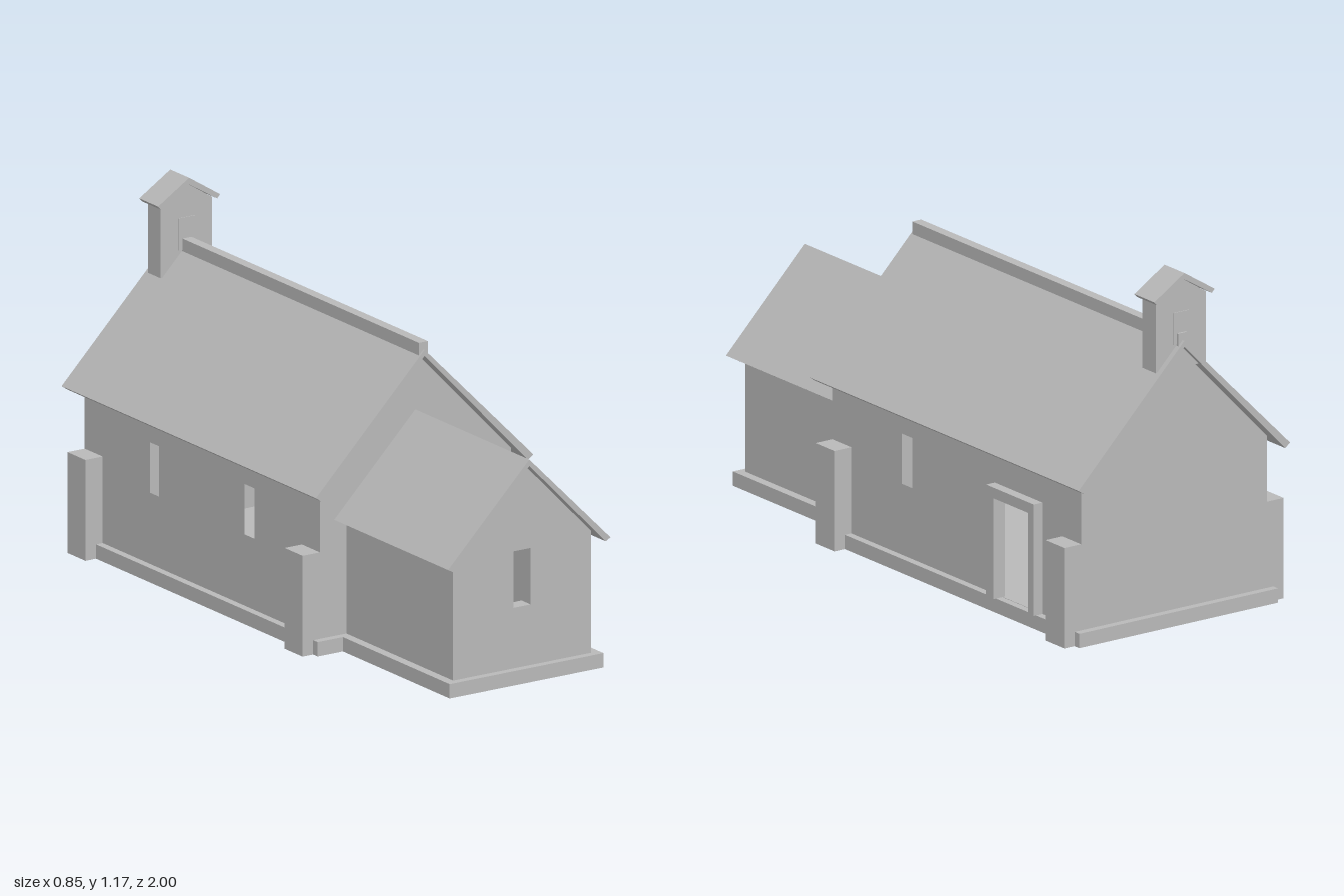
import * as THREE from 'three';

export function createModel() {
  const group = new THREE.Group();
  const stone = new THREE.MeshStandardMaterial({ color: 0xb8b8b8 });
  stone.name = 'grey stone';

  const add = (name, geometry) => {
    const mesh = new THREE.Mesh(geometry, stone);
    mesh.name = name;
    group.add(mesh);
    return mesh;
  };
  const box = (name, x0, x1, y0, y1, z0, z1) => add(name,
    new THREE.BoxGeometry(x1 - x0, y1 - y0, z1 - z0)
      .translate((x0 + x1) / 2, (y0 + y1) / 2, (z0 + z1) / 2));
  const polygon = (points) => new THREE.Shape(points.map(([x, y]) => new THREE.Vector2(x, y)));
  const rect = (x0, x1, y0, y1) => [[x0, y0], [x1, y0], [x1, y1], [x0, y1]];
  const extrude = (points, holes, depth) => {
    const shape = polygon(points);
    holes.forEach((h) => shape.holes.push(polygon(h)));
    return new THREE.ExtrudeGeometry(shape, { depth, bevelEnabled: false });
  };

  // profile in x/y, running from z0 to z1
  const across = (name, points, z0, z1, holes = []) =>
    add(name, extrude(points, holes, z1 - z0).translate(0, 0, z0));
  // profile in z/y, running from x0 to x1
  const along = (name, points, x0, x1, holes = []) => {
    const flip = (list) => list.map(([z, y]) => [-z, y]);
    return add(name, extrude(flip(points), holes.map(flip), x1 - x0)
      .rotateY(Math.PI / 2).translate(x0, 0, 0));
  };
  const gable = (w, y0, eave, apex) => [[-w, y0], [w, y0], [w, eave], [0, apex], [-w, eave]];
  const chevron = (apex, ox, oy, under, ix, iy) =>
    [[0, apex], [-ox, oy], [-ix, iy], [0, under], [ix, iy], [ox, oy]];

  // plinths
  box('navePlinth', -0.385, 0.385, 0, 0.047, -0.97, 0.39);
  box('chancelPlinth', -0.29, 0.29, 0, 0.047, 0.39, 0.985);

  // nave: hollow shell with gables, windows and a doorway
  const base = 0.047, t = 0.05;
  across('naveFrontGable', gable(0.36, base, 0.549, 0.923), 0.365 - t, 0.365);
  across('naveBackGable', gable(0.36, base, 0.549, 0.923), -0.945, -0.945 + t);
  const sideWall = rect(-0.945 + t, 0.365 - t, base, 0.549);
  const windowA = rect(-0.055, 0, 0.28, 0.445);
  const windowB = rect(-0.58, -0.53, 0.28, 0.445);
  const doorway = rect(-0.71, -0.53, base + 0.001, 0.378);
  along('naveLeftWall', sideWall, 0.36 - t, 0.36, [windowA, doorway]);
  along('naveRightWall', sideWall, -0.36, -0.36 + t, [windowA, windowB]);
  across('naveRoof', chevron(0.943, 0.41, 0.529, 0.923, 0.39, 0.515), -1, 0.417);
  box('ridgeCap', -0.017, 0.017, 0.925, 0.967, -0.99, 0.41);

  // door surround
  along('doorSurround', [[-0.74, base], [-0.71, base], [-0.71, 0.378], [-0.53, 0.378],
    [-0.53, base], [-0.49, base], [-0.49, 0.413], [-0.74, 0.413]], 0.35, 0.394);

  // chancel
  const chancelWall = rect(0.365, 0.96 - t, base, 0.447);
  across('chancelFrontGable', gable(0.26, base, 0.447, 0.714), 0.96 - t, 0.96,
    [rect(-0.032, 0.032, 0.245, 0.43)]);
  along('chancelLeftWall', chancelWall, 0.26 - t, 0.26);
  along('chancelRightWall', chancelWall, -0.26, -0.26 + t);
  across('chancelRoof', chevron(0.735, 0.306, 0.427, 0.714, 0.288, 0.417), 0.365, 1);

  // buttresses at the nave corners
  for (const side of [-1, 1]) {
    for (const z of [0.265, -0.945]) {
      const x = side * 0.39;
      box('buttress', x - 0.035, x + 0.035, 0, 0.33, z, z + 0.1);
    }
  }

  // bellcote on the back gable, with shallow panels on both faces
  across('bellcote', gable(0.097, 0.85, 1.083, 1.145), -0.98, -0.91);
  across('bellcoteRoof', chevron(1.166, 0.117, 1.092, 1.145, 0.106, 1.08), -1, -0.895);
  box('bellPanelFront', -0.03, 0.03, 0.93, 1.035, -0.911, -0.907);
  box('bellPanelBack', -0.03, 0.03, 0.93, 1.035, -0.983, -0.979);

  return group;
}
